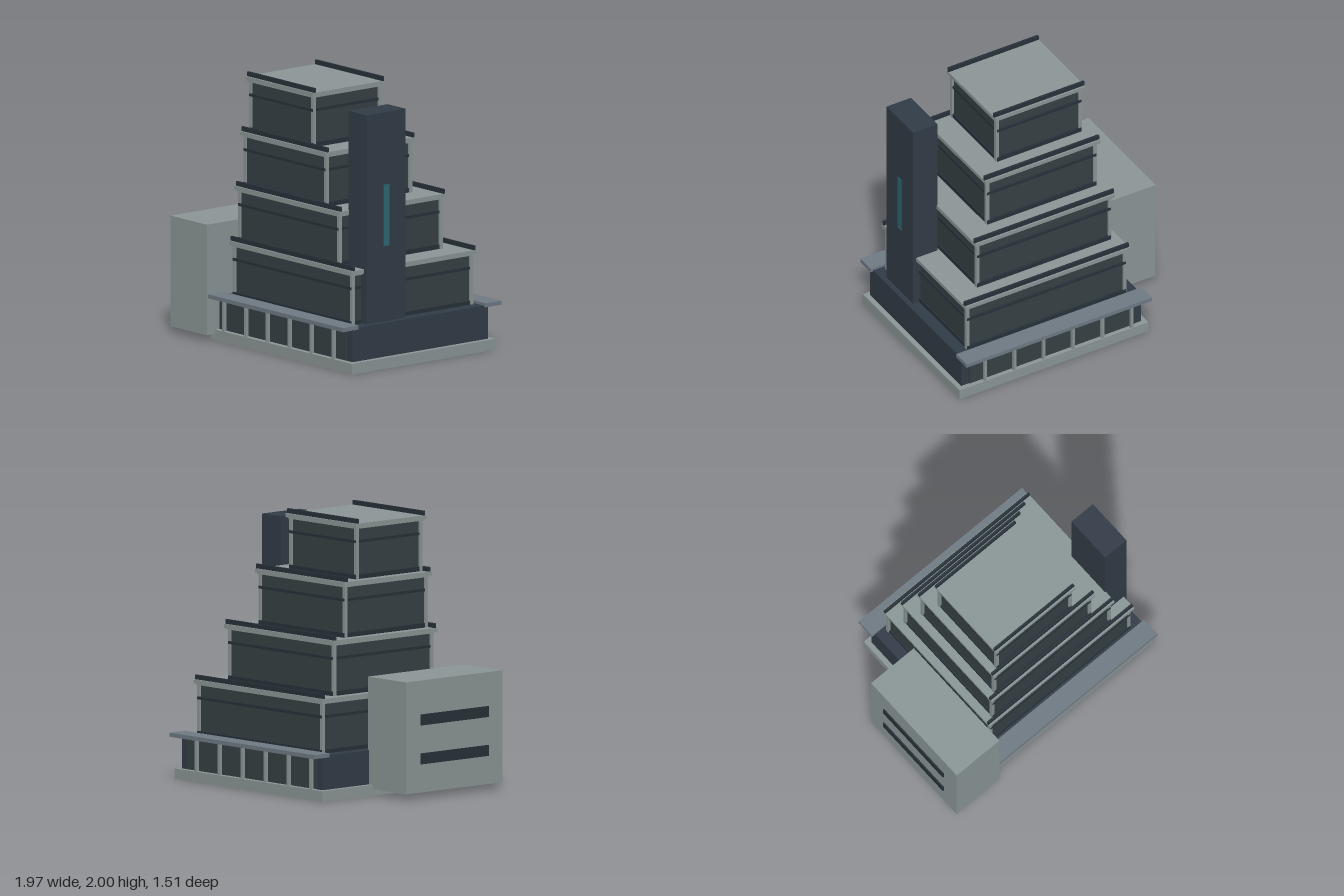
import * as THREE from 'three';

const paint = (color) => new THREE.MeshStandardMaterial({ color });
const concrete = paint(0x8c9797);
const darkWall = paint(0x323c47);
const glass = paint(0x364144);
const steel = paint(0x707b85);
const trim = paint(0x28323a);
const teal = paint(0x2c6872);

// Box given by its limits on each axis
function block(parent, name, mat, x0, x1, y0, y1, z0, z1) {
  const mesh = new THREE.Mesh(new THREE.BoxGeometry(x1 - x0, y1 - y0, z1 - z0), mat);
  mesh.position.set((x0 + x1) / 2, (y0 + y1) / 2, (z0 + z1) / 2);
  mesh.name = name;
  parent.add(mesh);
  return mesh;
}

// One stepped storey: glazed core, corner posts, bands, roof slab and parapets
function tier(i) {
  const g = new THREE.Group();
  g.name = 'tier' + (i + 1);
  const x0 = -0.517 + 0.038 * i, x1 = 0.873 - 0.171 * i;
  const z0 = -0.6 + 0.145 * i, z1 = 0.582 - 0.02 * i;
  const y0 = 0.325 + 0.41 * i, y1 = y0 + 0.41;
  const inset = (name, mat, dx, dz, a, b) =>
    block(g, name, mat, x0 + dx, x1 - dx, a, b, z0 + dz, z1 - dz);

  inset('glazedCore', glass, 0.035, 0.032, y0, y1 - 0.03);
  inset('baseBand', trim, 0.024, 0.015, y0, y0 + 0.033);
  inset('middleBand', trim, 0.024, 0.015, y0 + 0.265, y0 + 0.285);
  inset('lintel', concrete, 0.012, 0.012, y1 - 0.04, y1 - 0.03);
  inset('roofSlab', concrete, 0, 0, y1 - 0.03, y1);

  const w = 0.026;
  for (const px of [x0 + 0.018, x1 - 0.018 - w])
    for (const pz of [z0 + 0.02, z1 - 0.02 - w])
      block(g, 'cornerPost', concrete, px, px + w, y0, y1 - 0.03, pz, pz + w);

  for (const pz of [z0 + 0.013, z1 - 0.031])
    block(g, 'parapet', trim, x0, x1, y1, y1 + 0.033, pz, pz + 0.018);
  return g;
}

export function createModel() {
  const model = new THREE.Group();
  model.name = 'steppedBuilding';

  // Plinth and ground floor
  block(model, 'plinth', concrete, -0.62, 0.98, 0, 0.08, -0.69, 0.67);
  block(model, 'groundFloor', darkWall, -0.58, 0.94, 0.08, 0.33, -0.65, 0.63);

  // Shopfront glazing, mullions and canopies on the front and back
  for (const s of [1, -1]) {
    const span = (name, mat, x0, x1, y0, y1, a, b) => {
      const za = -0.01 + s * a, zb = -0.01 + s * b;
      block(model, name, mat, x0, x1, y0, y1, Math.min(za, zb), Math.max(za, zb));
    };
    span('shopfrontGlass', glass, -0.52, 0.88, 0.085, 0.32, 0.63, 0.652);
    for (let i = 0; i < 6; i++) {
      const x = -0.485 + i * 0.248;
      span('mullion', concrete, x - 0.011, x + 0.011, 0.08, 0.325, 0.63, 0.676);
    }
    span('canopy', steel, -0.61, 0.96, 0.32, 0.35, 0.6, 0.747);
  }

  // Four storeys stepping back
  for (let i = 0; i < 4; i++) model.add(tier(i));

  // Service tower with a lit strip
  block(model, 'tower', darkWall, 0.695, 0.9, 0.32, 1.88, 0.095, 0.465);
  block(model, 'towerWindow', teal, 0.89, 0.906, 0.89, 1.345, 0.255, 0.305);

  // Side annex with slot windows
  block(model, 'annex', concrete, -0.978, -0.568, 0.048, 0.868, -0.197, 0.748);
  for (const y of [0.255, 0.54])
    block(model, 'annexSlot', trim, -0.987, -0.96, y, y + 0.08, -0.055, 0.605);

  return model;
}
